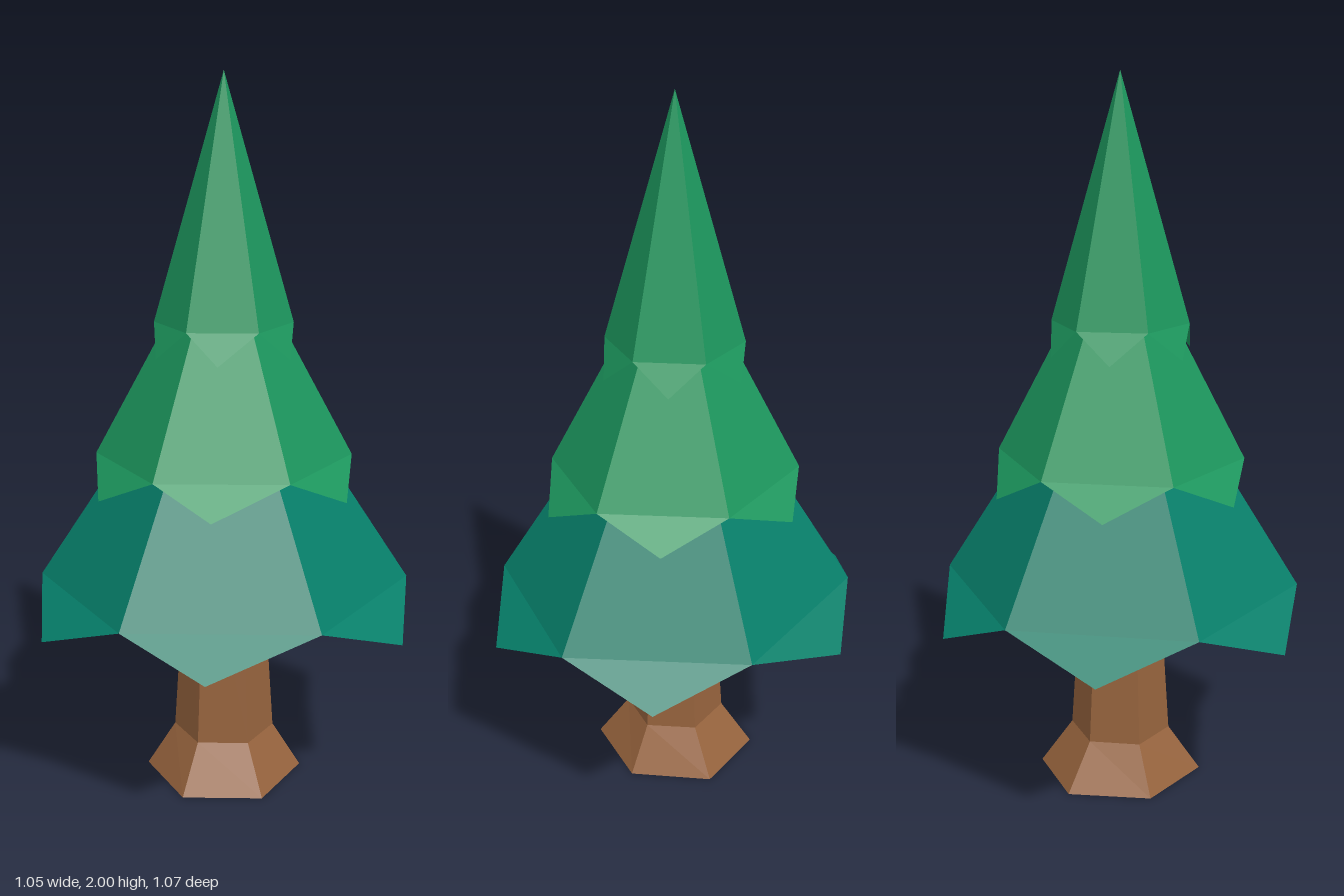
import * as THREE from 'three';

const material = (name, color) => {
  const m = new THREE.MeshStandardMaterial({ color, flatShading: true, side: THREE.DoubleSide });
  m.name = name;
  return m;
};

const flat = (points, mat, name) => {
  const g = new THREE.BufferGeometry().setFromPoints(points);
  g.computeVertexNormals();
  const mesh = new THREE.Mesh(g, mat);
  mesh.name = name;
  return mesh;
};

// Corner i of a hexagon with half width rx and half depth rz
const hexCorner = (i, rx, y, rz) => {
  const a = (i * Math.PI) / 3;
  return new THREE.Vector3(rx * Math.cos(a), y, (rz * Math.sin(a)) / Math.sin(Math.PI / 3));
};

// One layer of boughs: a six-sided cone, a shallow hollow underside and a pointed flap on each side
function boughTier(name, mat, { rx, rz, rimY, tipY, apexY, sideTip, endTip }) {
  const apex = new THREE.Vector3(0, apexY, 0);
  const hollow = new THREE.Vector3(0, rimY + 0.36 * rx, 0);
  const points = [];
  for (let i = 0; i < 6; i++) {
    const a = hexCorner(i, rx, rimY, rz), b = hexCorner(i + 1, rx, rimY, rz);
    const zSign = i < 3 ? 1 : -1;
    // Front and back tips lean slightly to one side
    const [x, z] = i % 3 === 1 ? endTip : sideTip;
    const xSign = i === 2 || i === 3 ? -1 : 1;
    const tip = new THREE.Vector3(xSign * x, tipY, zSign * z);
    points.push(a, apex, b, a, b, hollow, a, b, tip);
  }
  return flat(points, mat, name);
}

// Six-sided trunk with a flared foot, closed at both ends
function trunk(mat) {
  const rings = [
    [0.225, 0, 0.206],
    [0.144, 0.13, 0.124],
    [0.104, 0.755, 0.089],
  ].map((ring) => Array.from({ length: 6 }, (_, i) => hexCorner(i, ...ring)));
  const points = [];
  const bottom = new THREE.Vector3(0, 0, 0), top = new THREE.Vector3(0, 0.755, 0);
  for (let i = 0; i < 6; i++) {
    const j = (i + 1) % 6;
    for (let k = 0; k < 2; k++) {
      const lo = rings[k], hi = rings[k + 1];
      points.push(lo[i], hi[i], hi[j], lo[i], hi[j], lo[j]);
    }
    points.push(bottom, rings[0][i], rings[0][j], top, rings[2][j], rings[2][i]);
  }
  return flat(points, mat, 'trunk');
}

export function createModel() {
  const bark = material('bark brown', 0x96633d);
  const teal = material('needle teal', 0x067f6a);
  const green = material('needle green', 0x1c965d);

  const tree = new THREE.Group();
  tree.name = 'pineTree';
  tree.add(
    trunk(bark),
    boughTier('lowerBoughs', teal, {
      rx: 0.523, rz: 0.431, rimY: 0.6, tipY: 0.503, apexY: 1.4,
      sideTip: [0.488, 0.27], endTip: [-0.036, 0.537],
    }),
    boughTier('middleBoughs', green, {
      rx: 0.358, rz: 0.298, rimY: 0.962, tipY: 0.878, apexY: 1.625,
      sideTip: [0.334, 0.188], endTip: [-0.025, 0.372],
    }),
    boughTier('topBoughs', green, {
      rx: 0.191, rz: 0.165, rimY: 1.335, tipY: 1.252, apexY: 2,
      sideTip: [0.18, 0.105], endTip: [-0.012, 0.206],
    }),
  );
  return tree;
}
